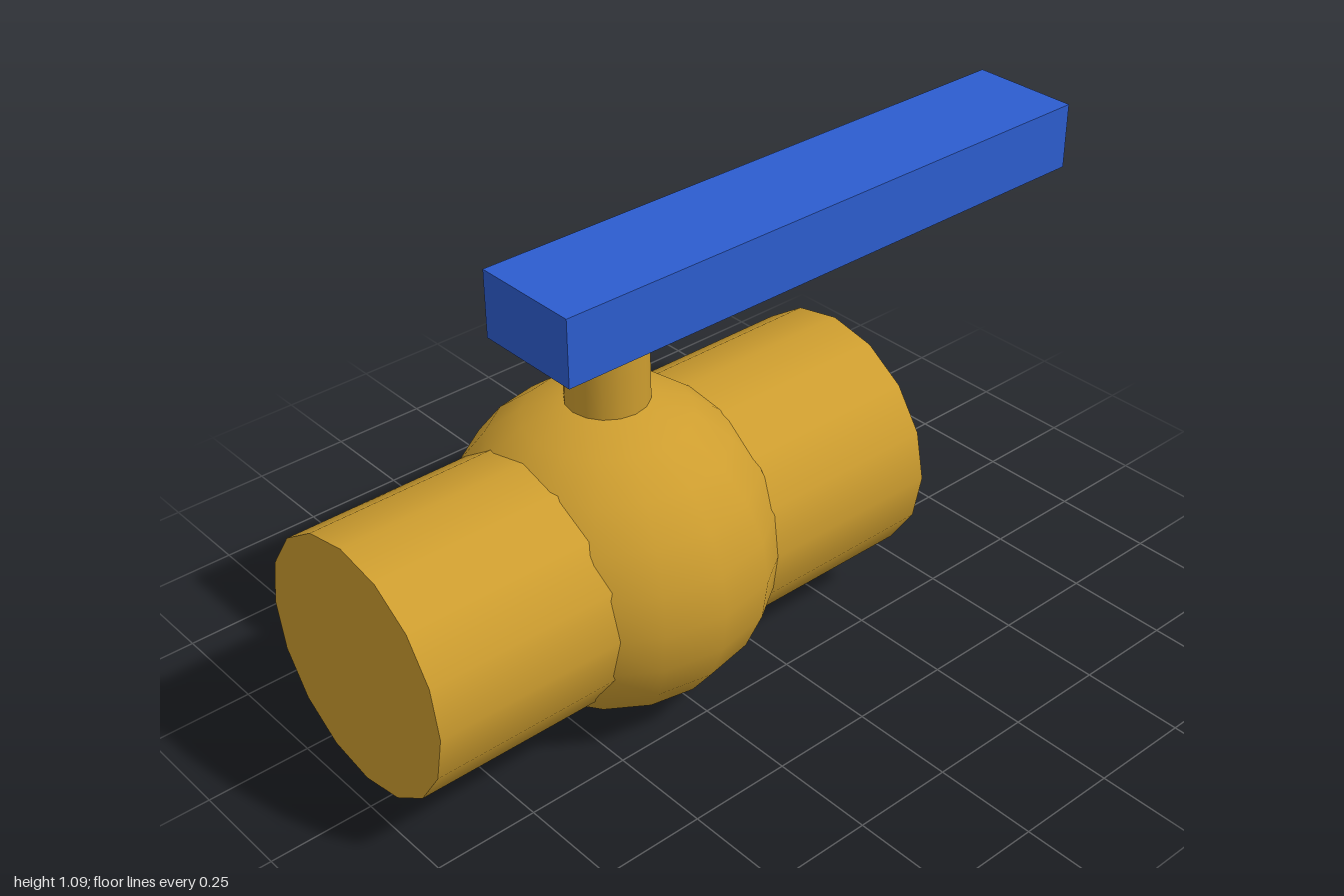
import * as THREE from 'three';

export function createModel() {
  const group = new THREE.Group();
  const brass = new THREE.MeshStandardMaterial({ color: 0xcd9d2f });
  brass.name = 'brass';
  const blue = new THREE.MeshStandardMaterial({ color: 0x2d5dcf });
  blue.name = 'handle blue';

  const add = (name, geometry, material, x, y) => {
    const mesh = new THREE.Mesh(geometry, material);
    mesh.name = name;
    mesh.position.set(x, y, 0);
    group.add(mesh);
    return mesh;
  };

  const centreX = -0.312, axisY = 0.387;

  // Straight pipe running left to right through the ball housing
  const pipe = add('pipe', new THREE.CylinderGeometry(0.303, 0.303, 1.376, 16), brass, centreX, axisY);
  pipe.rotation.z = Math.PI / 2;

  // Round valve housing
  add('ballHousing', new THREE.SphereGeometry(0.385, 16, 12), brass, centreX, axisY);

  // Stem rising from the housing to the lever
  add('stem', new THREE.CylinderGeometry(0.095, 0.095, 0.32, 16), brass, centreX, 0.768);

  // Lever handle
  add('leverHandle', new THREE.BoxGeometry(1.518, 0.163, 0.275), blue, 0.241, 1.0085);

  return group;
}
